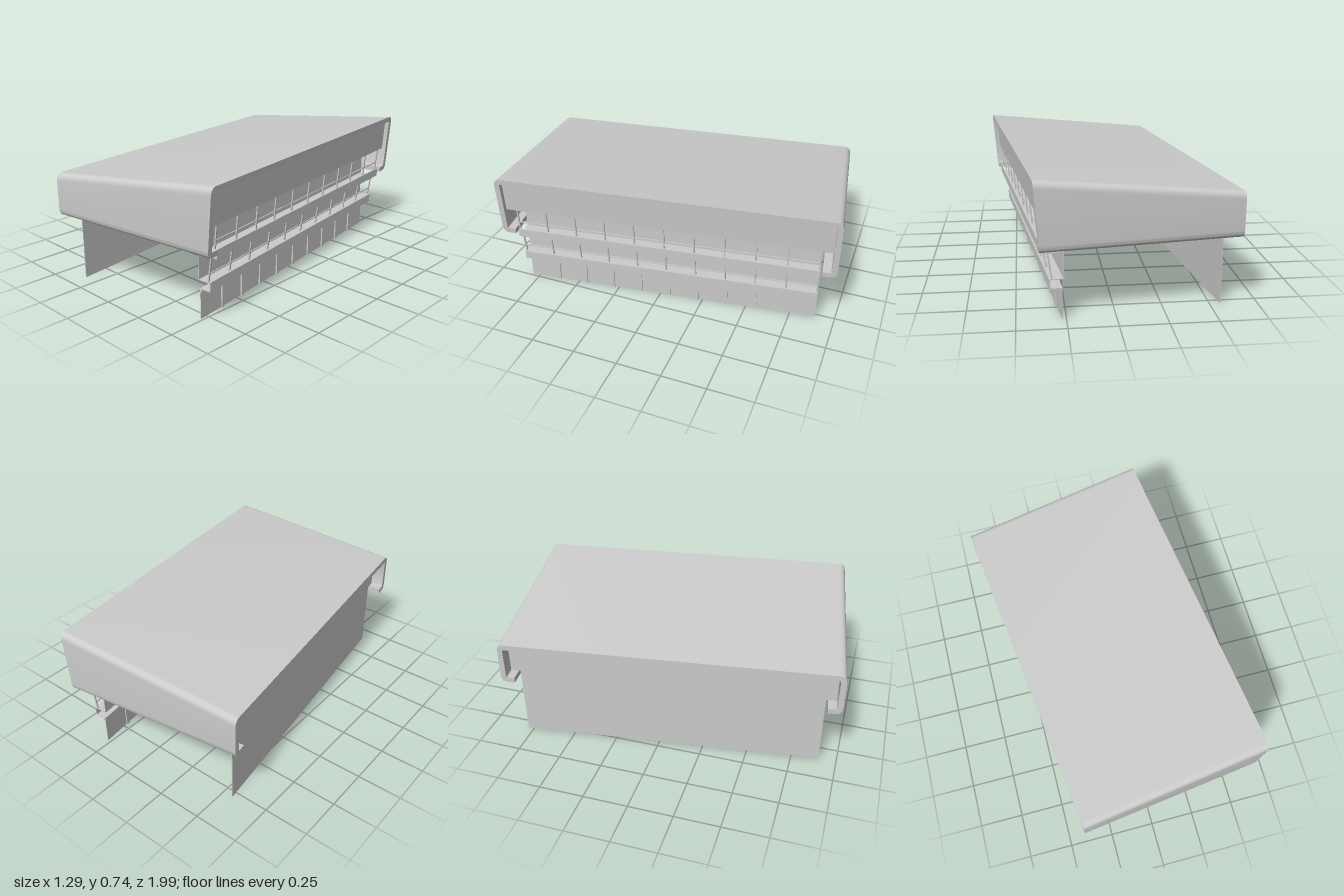
import * as THREE from 'three';
import { toCreasedNormals } from 'three/addons/utils/BufferGeometryUtils.js';

const material = new THREE.MeshStandardMaterial({ color: 0xcccccc, side: THREE.DoubleSide });

export function createModel() {
  const building = new THREE.Group();
  building.name = 'building';
  const add = (name, geometry) => {
    const mesh = new THREE.Mesh(geometry, material);
    mesh.name = name;
    building.add(mesh);
    return mesh;
  };
  // Box given by its limits across (x) and up (y), and its centre and length along z
  const box = (name, x0, x1, y0, y1, length, z = 0) => {
    const mesh = add(name, new THREE.BoxGeometry(x1 - x0, y1 - y0, length));
    mesh.position.set((x0 + x1) / 2, (y0 + y1) / 2, z);
  };
  // Leaning slab between two points of the cross-section
  const slab = (name, x0, y0, x1, y1, thickness, length, z = 0) => {
    const mesh = add(name, new THREE.BoxGeometry(thickness, Math.hypot(x1 - x0, y1 - y0), length));
    mesh.position.set((x0 + x1) / 2, (y0 + y1) / 2, z);
    mesh.rotation.z = Math.atan2(x0 - x1, y1 - y0);
  };

  // Roof shell: C-shaped band with rounded corners and inward lips
  const W = 0.937, H = 0.678, B = 0.378, T = 0.03, LIP = 0.86;
  const shape = new THREE.Shape();
  const corner = (x, y, dx0, dy0, dx1, dy1) => {
    shape.lineTo(x + dx0, y + dy0);
    shape.quadraticCurveTo(x, y, x + dx1, y + dy1);
  };
  const R = 0.04, r = 0.008, w = W - T, h = H - T, b = B + T;
  shape.moveTo(LIP, B);
  corner(W, B, -R, 0, 0, R);
  corner(W, H, 0, -R, -R, 0);
  corner(-W, H, R, 0, 0, -R);
  corner(-W, B, 0, R, R, 0);
  shape.lineTo(-LIP, B);
  shape.lineTo(-LIP, b);
  corner(-w, b, r, 0, 0, r);
  corner(-w, h, 0, -r, r, 0);
  corner(w, h, -r, 0, 0, -r);
  corner(w, b, 0, r, -r, 0);
  shape.lineTo(LIP, b);
  shape.closePath();
  const DEPTH = 1.057;
  const shell = new THREE.ExtrudeGeometry(shape, { depth: DEPTH, bevelEnabled: false, curveSegments: 8 });
  shell.translate(0, 0, -DEPTH / 2).rotateY(Math.PI / 2);
  // The roof rises towards the open front, whose rim leans outwards
  const pos = shell.attributes.position;
  for (let i = 0; i < pos.count; i++) {
    const x = pos.getX(i);
    let y = pos.getY(i);
    if (y > 0.5) y += x * 0.113;
    pos.setY(i, y);
    if (x > 0) pos.setX(i, x - 0.027 * (0.74 - y) / 0.36);
  }
  add('roofShell', toCreasedNormals(shell, 0.6));

  // Rear wall, reaching up to the underside of the roof
  box('rearWall', -0.454, -0.45, 0, 0.41, 1.7);
  box('rearWallUpper', -0.454, -0.45, 0.408, 0.598, 1.81);

  // Upper facade: leaning panel, soffit and recessed wall
  slab('upperPanel', 0.485, 0.525, 0.497, 0.706, 0.006, 1.812);
  box('upperSoffit', 0.37, 0.486, 0.525, 0.53, 1.812);
  box('upperWall', 0.37, 0.374, 0.352, 0.53, 1.7);

  // Upper and lower balconies: fascia, deck, rail and recessed wall
  box('upperFascia', 0.484, 0.489, 0.352, 0.4, 1.7);
  box('upperDeck', 0.37, 0.486, 0.35, 0.354, 1.7);
  box('upperRail', 0.47, 0.476, 0.437, 0.443, 1.7);
  box('middleWall', 0.37, 0.374, 0.213, 0.352, 1.7);
  box('lowerFascia', 0.44, 0.445, 0.165, 0.215, 1.7);
  box('lowerDeck', 0.37, 0.442, 0.211, 0.215, 1.7);
  box('lowerSoffit', 0.378, 0.442, 0.163, 0.167, 1.7);
  box('lowerRail', 0.432, 0.438, 0.254, 0.26, 1.7);

  // Ground-floor wall with its head beam
  box('groundWall', 0.38, 0.383, 0, 0.165, 1.7);
  box('groundBeam', 0.382, 0.391, 0.147, 0.165, 1.7);

  // Ten bays: leaning rods on both balconies, posts through the ground wall
  for (let i = 0; i <= 10; i++) {
    const z = (i - 5) * 0.169;
    slab('upperRod', 0.472, 0.395, 0.484, 0.527, 0.007, 0.008, z);
    slab('lowerRod', 0.43, 0.212, 0.45, 0.352, 0.007, 0.008, z);
    if (i > 0 && i < 10) box('post', 0.373, 0.391, 0, 0.163, 0.018, z);
  }

  // The whole building stands turned a little on its base
  building.rotation.y = 0.1286;
  const model = new THREE.Group();
  model.name = 'pavilion';
  model.add(building);
  return model;
}
